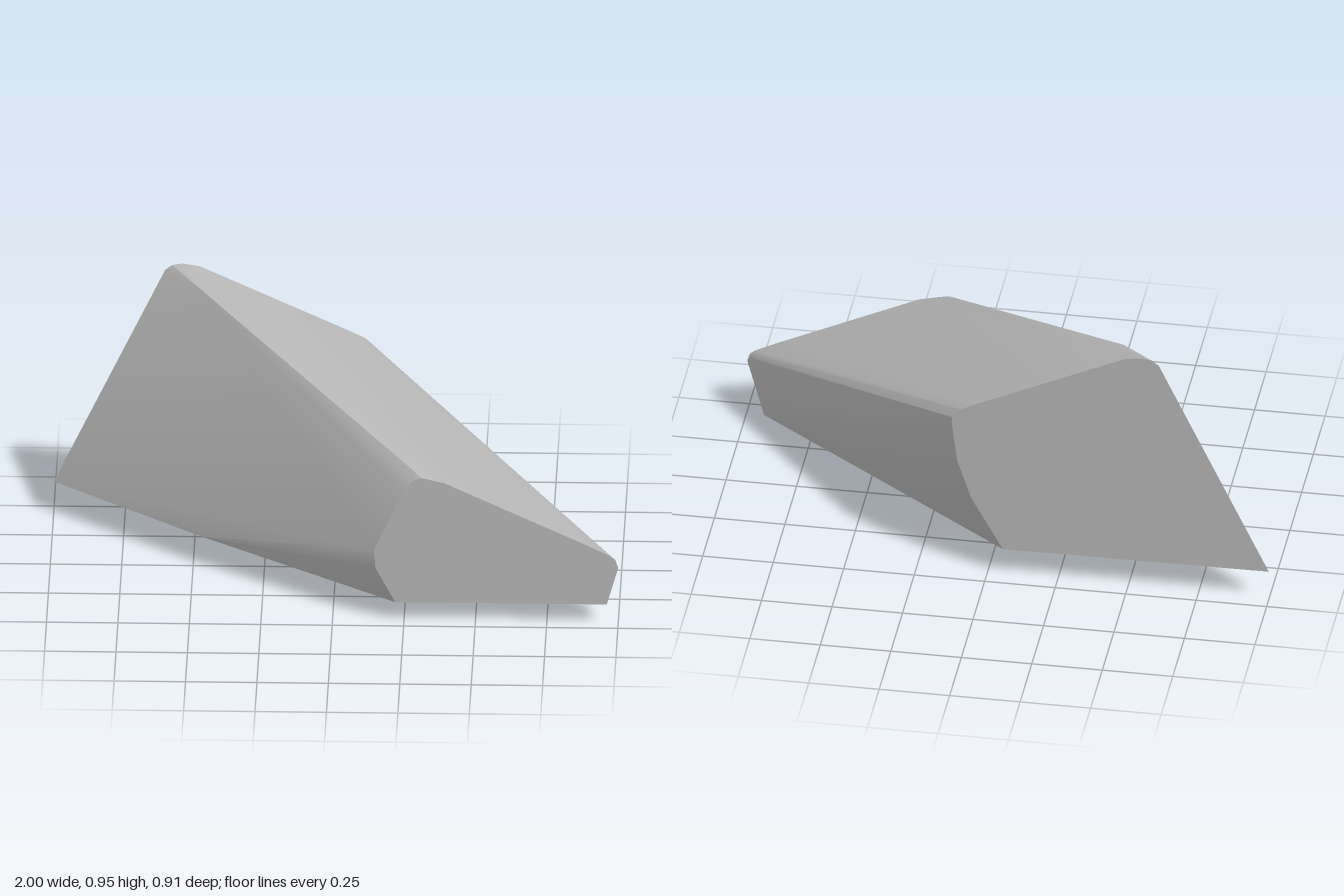
import * as THREE from 'three';
import { ConvexGeometry } from 'three/addons/geometries/ConvexGeometry.js';
import { toCreasedNormals } from 'three/addons/utils/BufferGeometryUtils.js';

const HALF_DEPTH = 0.453;

// Outlines of the two flat end faces, as x, y
const backOutline = [
  [-1, 0.115], [-0.61, 0.93], [-0.585, 0.949], [-0.55, 0.955], [-0.49, 0.946],
  [0.04, 0.702], [0.092, 0.676], [0.123, 0.64], [0.123, 0.6],
  [0.105, 0.46], [0.055, 0.31], [-0.057, 0.11],
];
const frontOutline = [
  [0.22, 0.07], [0.15, 0.2], [0.145, 0.27], [0.25, 0.5], [0.28, 0.535],
  [0.31, 0.547], [0.39, 0.528], [0.88, 0.3], [0.97, 0.256], [0.99, 0.24],
  [1, 0.21], [0.96, 0.07],
];
// Corners of the facets that lie between the ends, as x, y, z
const middleCorners = [
  [-0.47, 0.107, -0.01], // lower left edge
  [0.51, 0, 0.12], // lowest point
  [0.92, 0.07, 0.33], // lower right edge
  [0.97, 0.24, 0.42], // right bevel
  [-0.46, 0.905, -0.3], // top ridge, back
  [0.28, 0.567, 0.43], // top ridge, front
];

export function createModel() {
  const group = new THREE.Group();
  group.name = 'slantedBlock';

  const stoneGrey = new THREE.MeshStandardMaterial({ color: 0xb4b4b4 });
  stoneGrey.name = 'stoneGrey';

  // Sheared, bevelled block spanning both end faces
  const points = [
    ...backOutline.map(([x, y]) => new THREE.Vector3(x, y, -HALF_DEPTH)),
    ...frontOutline.map(([x, y]) => new THREE.Vector3(x, y, HALF_DEPTH)),
    ...middleCorners.map((p) => new THREE.Vector3(...p)),
  ];
  const block = new THREE.Mesh(toCreasedNormals(new ConvexGeometry(points), 0.45), stoneGrey);
  block.name = 'block';
  group.add(block);

  return group;
}
